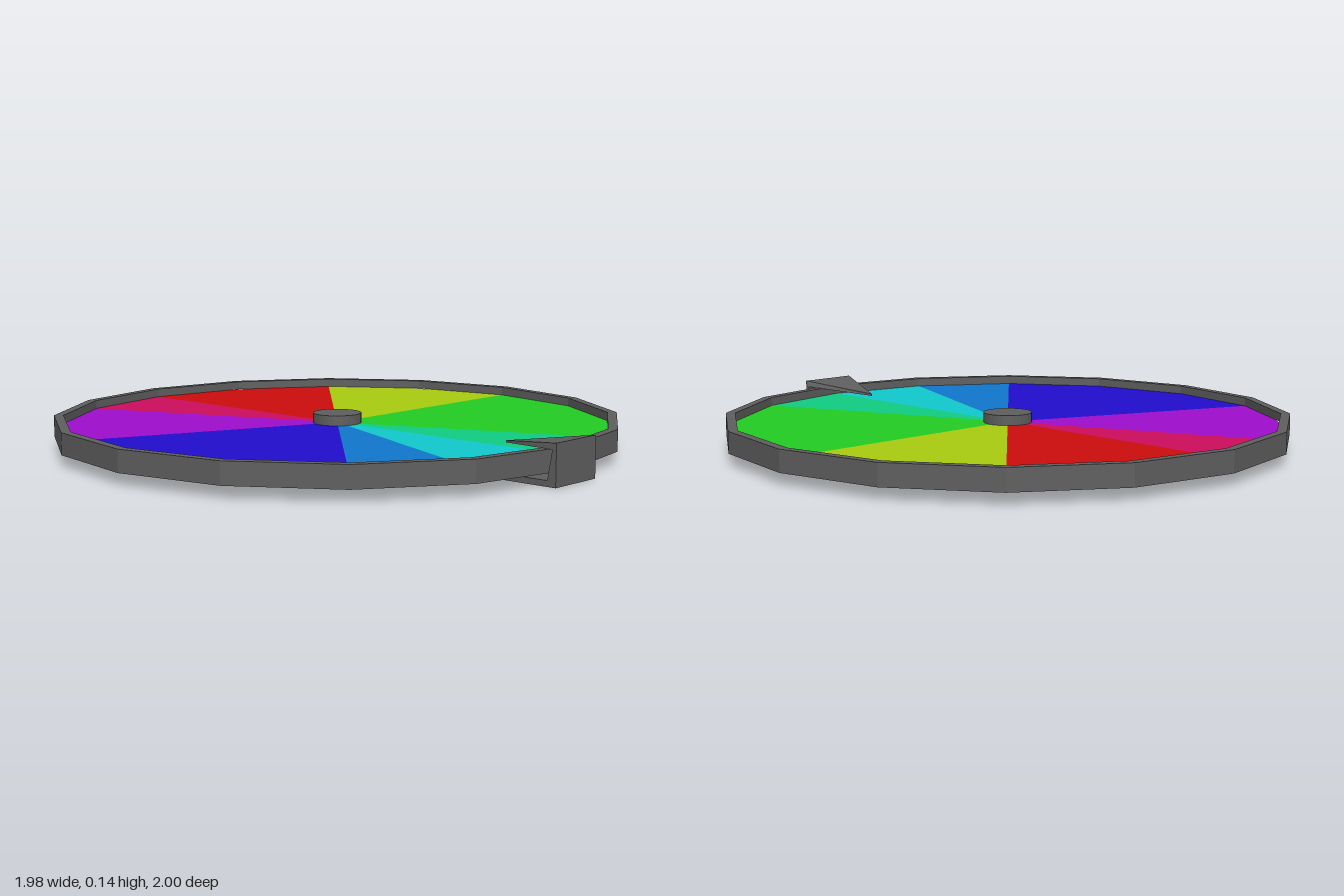
import * as THREE from 'three';

const RIM = 0.99, INNER = 0.957, CENTRE_Z = -0.01;
const DISC_Y = 0.085;
const STEP = Math.PI / 8; // one side of the sixteen-sided wheel

function material(name, color) {
  const m = new THREE.MeshStandardMaterial({ color, flatShading: true });
  m.name = name;
  return m;
}

function mesh(name, geometry, mat) {
  const m = new THREE.Mesh(geometry, mat);
  m.name = name;
  return m;
}

export function createModel() {
  const model = new THREE.Group();
  model.name = 'colourWheel';
  const grey = material('darkGrey', 0x5e5e5e);

  const wheel = new THREE.Group();
  wheel.name = 'wheel';
  wheel.position.z = CENTRE_Z;
  model.add(wheel);

  // Tray: flat underside, outer wall and raised rim
  const profile = [[0, 0.04], [RIM, 0.04], [RIM, 0.115], [INNER, 0.115], [INNER, DISC_Y]]
    .map(([x, y]) => new THREE.Vector2(x, y));
  wheel.add(mesh('tray', new THREE.LatheGeometry(profile, 16), grey));

  // Coloured wedges, clockwise from the back; width counted in wheel sides
  const wedges = [
    ['red', 0xcc0d0d, 2], ['yellow', 0xa8cc10, 2], ['green', 0x22cc22, 3],
    ['teal', 0x10cc80, 1], ['cyan', 0x10c8cc, 1], ['azure', 0x1077cc, 1],
    ['blue', 0x200dcc, 3], ['purple', 0x9d0dcc, 2], ['crimson', 0xcc0d5c, 1],
  ];
  let side = 0;
  for (const [name, color, sides] of wedges) {
    const start = Math.PI / 2 - (side + sides) * STEP;
    const geometry = new THREE.CircleGeometry(INNER, sides, start, sides * STEP);
    geometry.rotateX(-Math.PI / 2);
    const wedge = mesh(name + 'Wedge', geometry, material(name, color));
    wedge.position.y = DISC_Y;
    wheel.add(wedge);
    side += sides;
  }

  // Centre hub
  const hub = mesh('hub', new THREE.CylinderGeometry(0.085, 0.085, 0.04, 32), grey);
  hub.position.y = 0.1;
  wheel.add(hub);

  // Pointer bracket: arm under the wheel and upright plate, one bent section
  const W = 0.107;
  const section = new THREE.Shape([
    [1, 0], [1, 0.14], [0.985, 0.118], [0.968, 0.02], [-0.075, 0.02], [-0.075, 0],
  ].map(([z, y]) => new THREE.Vector2(-z, y)));
  const bracket = new THREE.ExtrudeGeometry(section, { depth: 2 * W, bevelEnabled: false });
  bracket.translate(0, 0, -W);
  bracket.rotateY(Math.PI / 2);
  model.add(mesh('pointerBracket', bracket, grey));

  // Arrow flap tapering down to its tip over the wheel
  const corners = [
    [-W, 0.14, 1], [W, 0.14, 1], [0, 0.105, 0.73],
    [-W, 0.118, 0.985], [W, 0.118, 0.985], [0, 0.098, 0.73],
  ];
  const faces = [0, 1, 2, 3, 5, 4, 1, 4, 5, 1, 5, 2, 0, 2, 5, 0, 5, 3, 0, 3, 4, 0, 4, 1];
  const flap = new THREE.BufferGeometry();
  flap.setAttribute('position',
    new THREE.Float32BufferAttribute(faces.flatMap((i) => corners[i]), 3));
  flap.computeVertexNormals();
  model.add(mesh('pointerArrow', flap, grey));

  return model;
}
